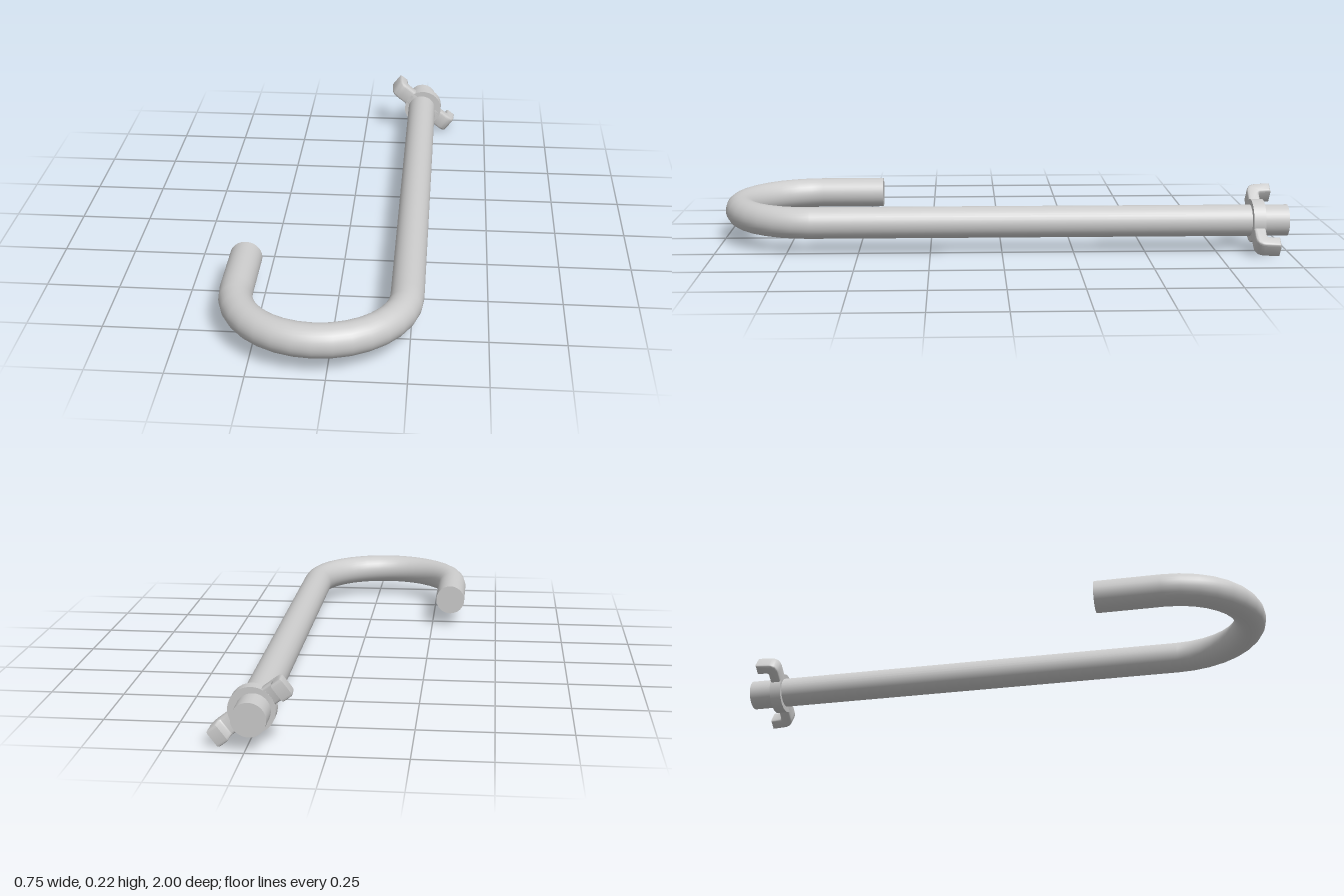
import * as THREE from 'three';
import { toCreasedNormals } from 'three/addons/utils/BufferGeometryUtils.js';

const material = new THREE.MeshStandardMaterial({ color: 0xcccccc });
const ROD_R = 0.055, AXIS_Y = 0.11;
const BEND_R = 0.2775, BEND_X = -0.0425, BEND_Z = 0.667;

function add(parent, name, geometry, x = 0, y = 0, z = 0) {
  const mesh = new THREE.Mesh(geometry, material);
  mesh.name = name;
  mesh.position.set(x, y, z);
  parent.add(mesh);
  return mesh;
}

// Cylinder along z, from z = back to z = front
function rod(radius, back, front, sides) {
  return new THREE.CylinderGeometry(radius, radius, front - back, sides)
    .rotateX(Math.PI / 2)
    .translate(0, 0, (front + back) / 2);
}

// Wing profile: x runs outward from the axis, y runs toward the threaded end
function wingGeometry() {
  const bevel = 0.008, width = 0.064;
  const s = new THREE.Shape();
  s.moveTo(0.045, 0.008);
  s.lineTo(0.105, 0.008);
  s.quadraticCurveTo(0.131, 0.008, 0.134, 0.032);
  s.lineTo(0.137, 0.077);
  s.lineTo(0.114, 0.077);
  s.lineTo(0.112, 0.046);
  s.quadraticCurveTo(0.11, 0.034, 0.096, 0.033);
  s.lineTo(0.045, 0.033);
  s.closePath();
  const g = new THREE.ExtrudeGeometry(s, {
    depth: width - 2 * bevel, bevelEnabled: true, bevelThickness: bevel,
    bevelSize: bevel, bevelSegments: 3, curveSegments: 6,
  });
  g.translate(0, 0, -width / 2 + bevel).rotateX(-Math.PI / 2);
  return toCreasedNormals(g, 0.7);
}

export function createModel() {
  const model = new THREE.Group();
  model.name = 'hookBolt';

  // Bent rod: long shank, half-circle bend, short return leg
  const hook = new THREE.Group();
  hook.name = 'hook';
  hook.position.y = AXIS_Y;
  model.add(hook);
  add(hook, 'shank', rod(ROD_R, -1, BEND_Z, 32), BEND_X + BEND_R);
  add(hook, 'returnLeg', rod(ROD_R, 0.44, BEND_Z, 32), BEND_X - BEND_R);
  const bend = new THREE.TorusGeometry(BEND_R, ROD_R, 32, 16, Math.PI).rotateX(Math.PI / 2);
  add(hook, 'bend', bend, BEND_X, 0, BEND_Z);

  // Wing nut near the threaded end
  const nut = new THREE.Group();
  nut.name = 'wingNut';
  nut.position.set(0.24, 0.114, -0.87);
  model.add(nut);
  add(nut, 'collar', rod(0.075, -0.042, 0, 40), 0, -0.004);
  const wing = wingGeometry();
  for (const [name, turn] of [['leftWing', 0], ['rightWing', Math.PI]]) {
    add(nut, name, wing).rotation.z = turn - 0.65;
  }
  return model;
}
